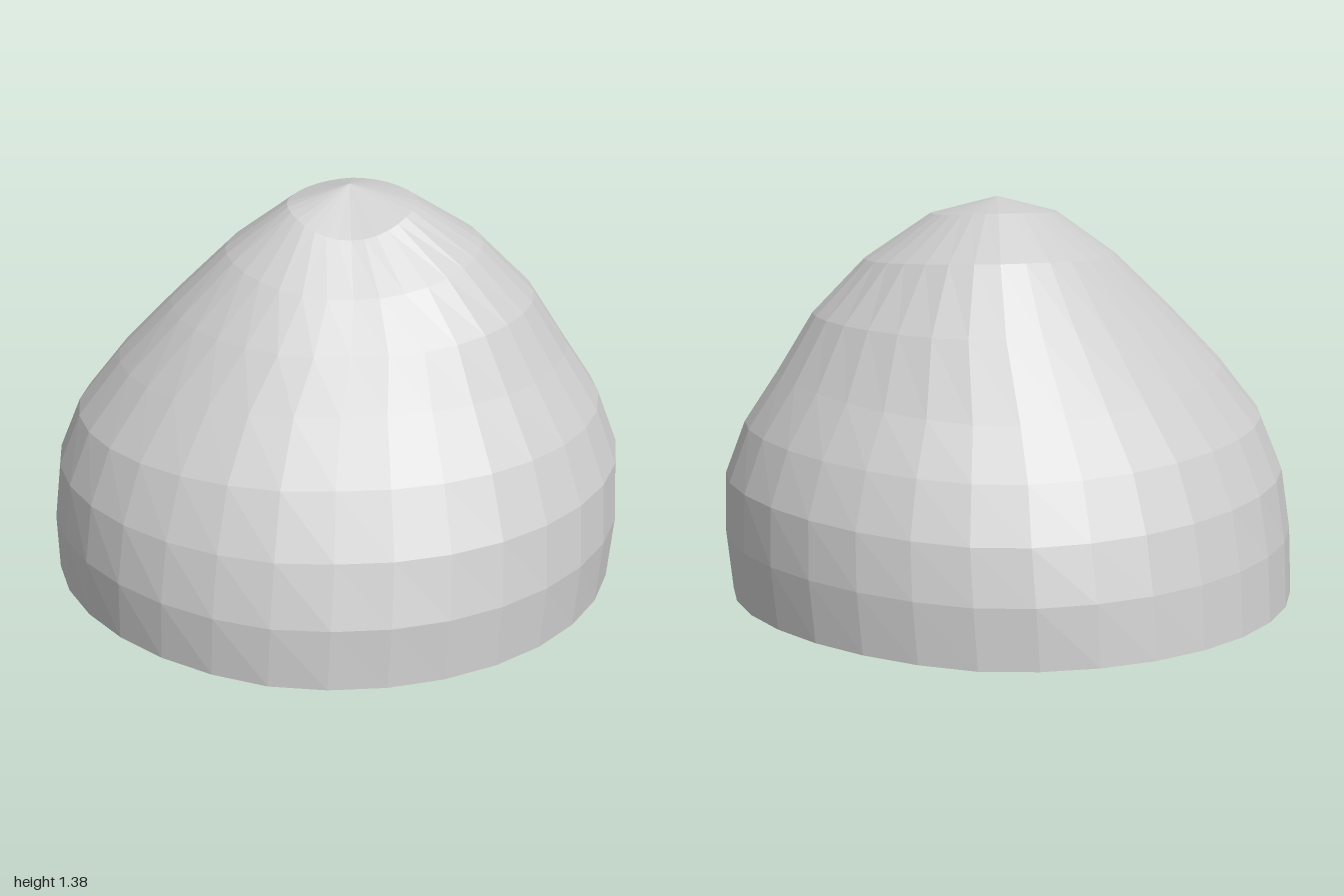
import * as THREE from 'three';

const SIDES = 32;

// Rings from tip to foot: x right, x left, z front, z back, then heights at sides, front, back
const RINGS = [
  [0.27, -0.17, 0.195, -0.19, 1.328, 1.25, 1.345],
  [0.50, -0.38, 0.355, -0.38, 1.175, 1.10, 1.20],
  [0.68, -0.57, 0.49, -0.54, 0.99, 0.95, 0.975],
  [0.80, -0.755, 0.61, -0.69, 0.795, 0.79, 0.725],
  [0.92, -0.90, 0.76, -0.81, 0.61, 0.60, 0.56],
  [0.99, -0.975, 0.88, -0.905, 0.425, 0.40, 0.38],
  [0.997, -1.0, 0.96, -0.96, 0.22, 0.20, 0.20],
  [0.975, -1.0, 0.985, -0.98, 0, 0, 0],
];

// One point of a ring: an ellipse whose -x end swings forward along the ridge
function ringPoint([right, left, front, back, ySide, yFront, yBack], level, angle) {
  const c = Math.cos(angle), s = Math.sin(angle);
  const halfX = (right - left) / 2, halfZ = (front - back) / 2;
  const swing = 0.16 * (1 - level * level) * Math.max(0, -c);
  const lift = 0.022 * level * Math.max(0, Math.cos(2 * (angle + 0.6)));
  const x = (right + left) / 2 + halfX * c;
  const z = (front + back) / 2 + halfZ * s + swing * halfX;
  const y = ySide + ((s > 0 ? yFront : yBack) - ySide) * s * s + lift;
  return [x, y, z];
}

function moundGeometry() {
  const positions = [0.04, 1.385, 0];
  const index = [];
  const last = RINGS.length - 1;
  RINGS.forEach((ring, k) => {
    for (let i = 0; i < SIDES; i++) {
      positions.push(...ringPoint(ring, k / last, (i / SIDES) * Math.PI * 2));
    }
  });
  const at = (k, i) => 1 + k * SIDES + (i % SIDES);
  const baseCentre = positions.length / 3;
  positions.push(0, 0.005, 0);

  for (let i = 0; i < SIDES; i++) {
    // Tip
    index.push(0, at(0, i + 1), at(0, i));
    // Flanks
    for (let k = 0; k < last; k++) {
      const a = at(k, i), b = at(k, i + 1), c = at(k + 1, i), d = at(k + 1, i + 1);
      index.push(a, b, c, b, d, c);
    }
    // Underside
    index.push(baseCentre, at(last, i), at(last, i + 1));
  }
  const geometry = new THREE.BufferGeometry();
  geometry.setAttribute('position', new THREE.Float32BufferAttribute(positions, 3));
  geometry.setIndex(index);
  geometry.computeVertexNormals();
  return geometry;
}

export function createModel() {
  const group = new THREE.Group();
  group.name = 'rockMound';
  const material = new THREE.MeshStandardMaterial({ color: 0xcccccc, flatShading: true });
  const mound = new THREE.Mesh(moundGeometry(), material);
  mound.name = 'mound';
  group.add(mound);
  return group;
}
